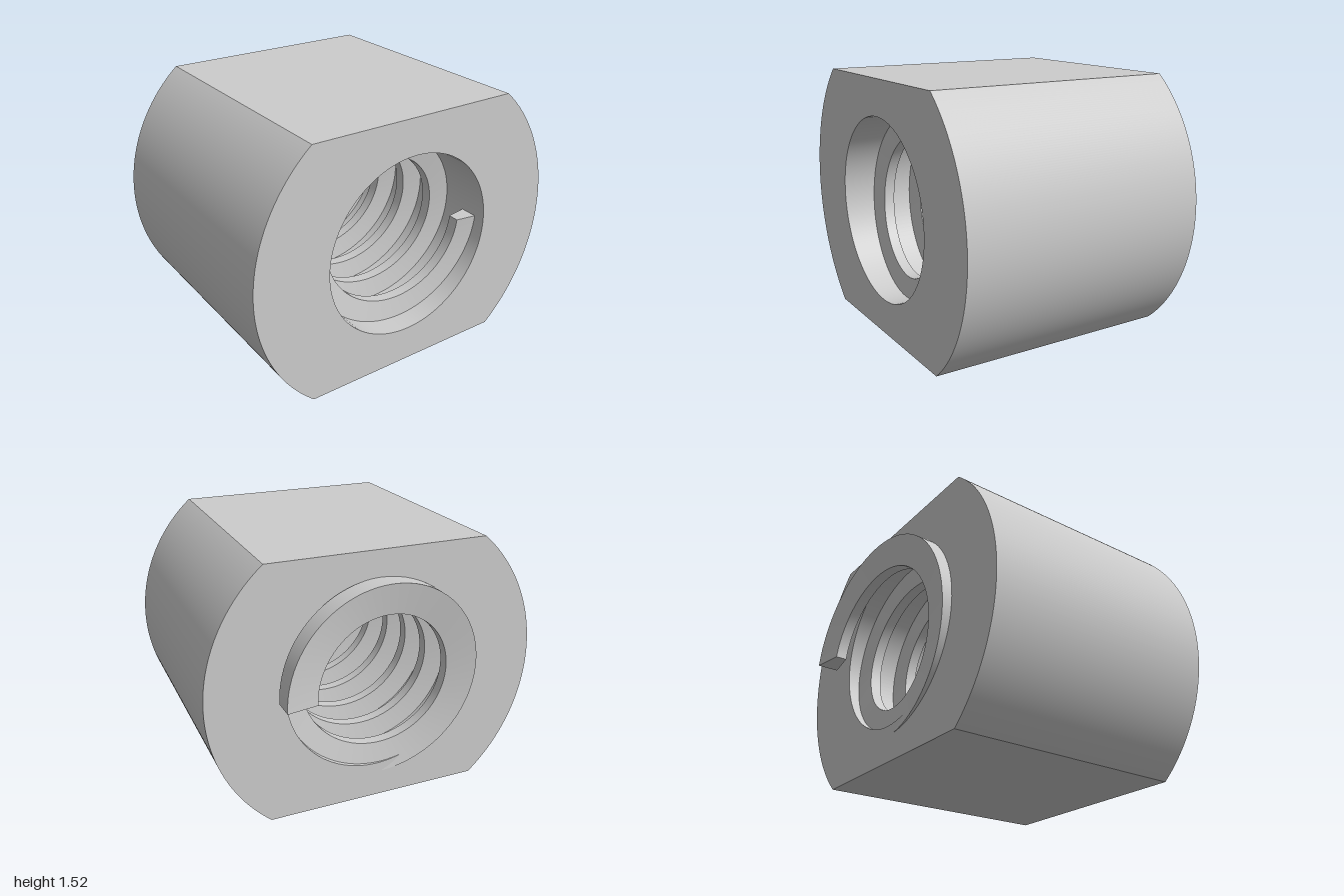
import * as THREE from 'three';
import { toCreasedNormals } from 'three/addons/utils/BufferGeometryUtils.js';

const CENTER_Y = 0.76;
const BACK_Z = -0.66;
const LENGTH = 1.5;
const PITCH = 0.25;
const TURNS = 6;

// Round body with flat top and bottom and a through bore
function bodyGeometry() {
  const a = Math.asin(CENTER_Y);
  const outline = new THREE.Shape();
  outline.absarc(0, 0, 1, -a, a, false);
  outline.absarc(0, 0, 1, Math.PI - a, Math.PI + a, false);
  outline.closePath();
  const bore = new THREE.Path();
  bore.absarc(0, 0, 0.545, 0, Math.PI * 2, true);
  outline.holes.push(bore);
  const geometry = new THREE.ExtrudeGeometry(outline, {
    depth: LENGTH, bevelEnabled: false, curveSegments: 64,
  });
  geometry.translate(0, 0, BACK_Z);
  return toCreasedNormals(geometry, 0.4);
}

// Trapezoidal section swept along a helix, closed at both ends
function threadGeometry() {
  const section = [[0.422, -0.0325], [0.422, 0.0325], [0.605, 0.0625], [0.605, -0.0625]];
  const n = section.length;
  const steps = TURNS * 96;
  const startZ = -0.7825;
  const positions = [];
  const index = [];
  for (let i = 0; i <= steps; i++) {
    const turn = (i / steps) * TURNS;
    const angle = turn * Math.PI * 2;
    for (const [r, dz] of section) {
      positions.push(r * Math.cos(angle), r * Math.sin(angle), startZ + turn * PITCH + dz);
    }
    if (i === steps) break;
    for (let j = 0; j < n; j++) {
      const a = i * n + j;
      const b = i * n + ((j + 1) % n);
      index.push(a, b, b + n, a, b + n, a + n);
    }
  }
  const end = steps * n;
  index.push(0, 2, 1, 0, 3, 2);
  index.push(end, end + 1, end + 2, end, end + 2, end + 3);
  const geometry = new THREE.BufferGeometry();
  geometry.setAttribute('position', new THREE.Float32BufferAttribute(positions, 3));
  geometry.setIndex(index);
  return toCreasedNormals(geometry, 0.2);
}

export function createModel() {
  const metal = new THREE.MeshStandardMaterial({ color: 0xcccccc });
  metal.name = 'light grey metal';

  const model = new THREE.Group();
  model.name = 'threadedNut';
  const parts = { body: bodyGeometry(), internalThread: threadGeometry() };
  for (const [name, geometry] of Object.entries(parts)) {
    const mesh = new THREE.Mesh(geometry, metal);
    mesh.name = name;
    mesh.position.y = CENTER_Y;
    model.add(mesh);
  }
  return model;
}
